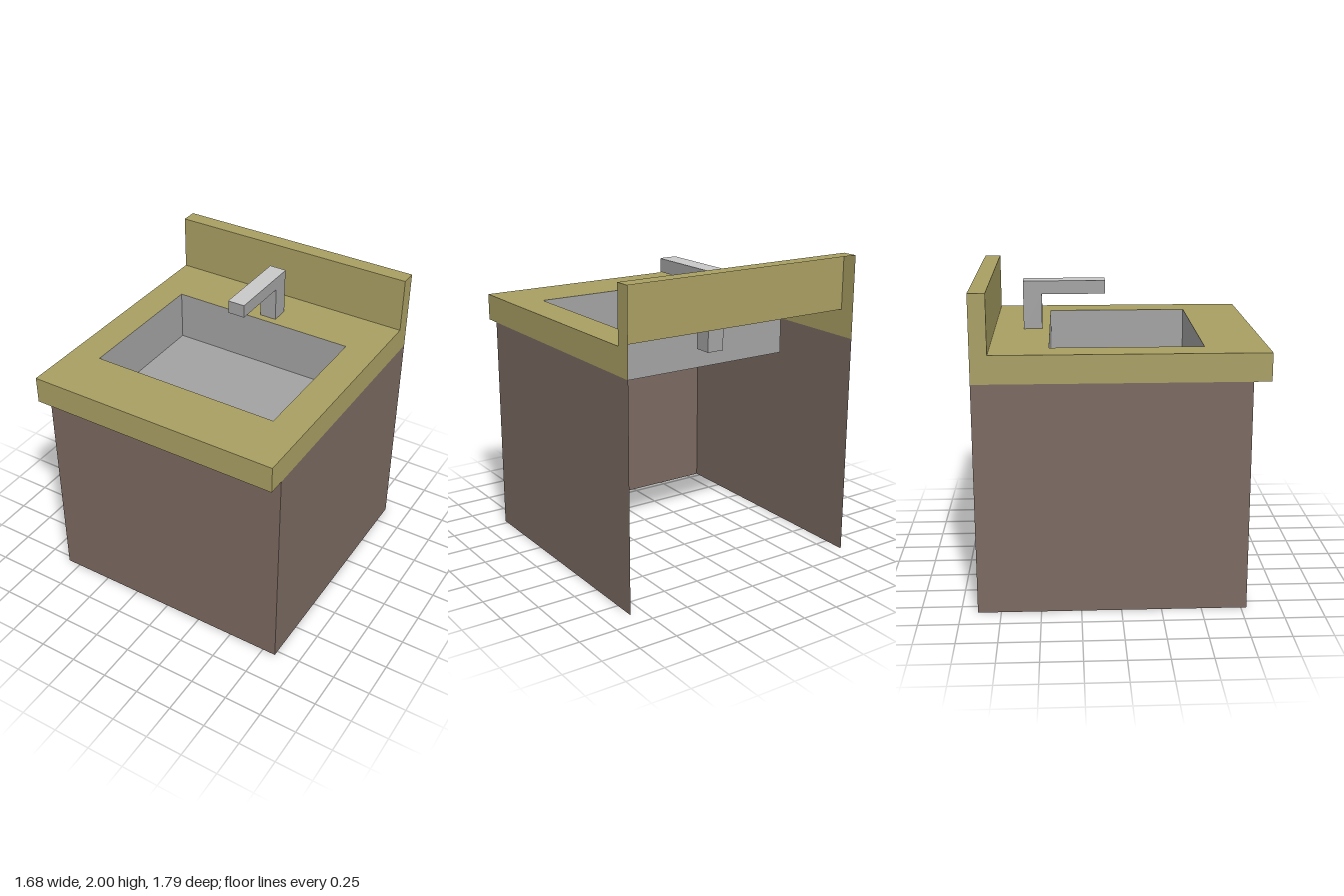
import * as THREE from 'three';

const material = (name, color) => {
  const m = new THREE.MeshStandardMaterial({ color, side: THREE.DoubleSide });
  m.name = name;
  return m;
};

// Main levels and limits
const W = 0.84, BACK = -0.895, FRONT = 0.895, PANEL = 0.785, SPLASH = -0.79;
const UNDER = 1.46, TOP = 1.635, HIGH = 2;
const SINK = { x0: -0.64, x1: 0.625, z0: -0.43, z1: 0.51, y: 1.3 };

export function createModel() {
  const olive = material('olive worktop', 0xa99f63);
  const brown = material('brown cabinet', 0x7b6a61);
  const grey = material('grey metal', 0xa3a3a3);
  const light = material('light metal', 0xc9c9c9);
  const model = new THREE.Group();
  model.name = 'sinkCabinet';

  const group = (name) => {
    const g = new THREE.Group();
    g.name = name;
    model.add(g);
    return g;
  };
  const add = (parent, name, geometry, mat) => {
    const mesh = new THREE.Mesh(geometry, mat);
    mesh.name = name;
    parent.add(mesh);
    return mesh;
  };
  // Sheets facing front (+z), up (+y) and left (+x); sign -1 faces the other way
  const wallZ = (g, name, mat, x0, x1, y0, y1, z, sign = 1) =>
    add(g, name, new THREE.PlaneGeometry(x1 - x0, y1 - y0)
      .rotateY(sign > 0 ? 0 : Math.PI)
      .translate((x0 + x1) / 2, (y0 + y1) / 2, z), mat);
  const sheetY = (g, name, mat, x0, x1, z0, z1, y, sign = 1) =>
    add(g, name, new THREE.PlaneGeometry(x1 - x0, z1 - z0)
      .rotateX(-sign * Math.PI / 2)
      .translate((x0 + x1) / 2, y, (z0 + z1) / 2), mat);
  const wallX = (g, name, mat, z0, z1, y0, y1, x, sign = 1) =>
    add(g, name, new THREE.PlaneGeometry(z1 - z0, y1 - y0)
      .rotateY(sign * Math.PI / 2)
      .translate(x, (y0 + y1) / 2, (z0 + z1) / 2), mat);
  const outline = (pts) => pts.map(([x, y]) => new THREE.Vector2(x, y));

  // Cabinet: three thin panels, open behind and below
  const cabinet = group('cabinet');
  wallZ(cabinet, 'frontPanel', brown, -W, W, 0, UNDER, PANEL);
  for (const s of [-1, 1]) {
    wallX(cabinet, s > 0 ? 'leftPanel' : 'rightPanel', brown, BACK, PANEL, 0, UNDER, s * W, s);
  }

  // Worktop shell with basin opening
  const worktop = group('worktop');
  const top = new THREE.Shape(outline([[-W, -FRONT], [W, -FRONT], [W, -SPLASH], [-W, -SPLASH]]));
  top.holes.push(new THREE.Path(outline([
    [SINK.x0, -SINK.z1], [SINK.x0, -SINK.z0], [SINK.x1, -SINK.z0], [SINK.x1, -SINK.z1]])));
  add(worktop, 'worktopSurface', new THREE.ShapeGeometry(top).rotateX(-Math.PI / 2).translate(0, TOP, 0), olive);
  wallZ(worktop, 'frontEdge', olive, -W, W, UNDER, TOP, FRONT);
  sheetY(worktop, 'overhangUnderside', olive, -W, W, PANEL, FRONT, UNDER, -1);

  // Backsplash, open at the back
  wallZ(worktop, 'backsplashFront', olive, -W, W, TOP, HIGH, SPLASH);
  sheetY(worktop, 'backsplashTop', olive, -W, W, BACK, SPLASH, HIGH);

  // L-shaped ends shared by worktop and backsplash
  const end = new THREE.Shape(outline([
    [-FRONT, UNDER], [-BACK, UNDER], [-BACK, HIGH], [-SPLASH, HIGH], [-SPLASH, TOP], [-FRONT, TOP]]));
  for (const s of [-1, 1]) {
    const geometry = new THREE.ShapeGeometry(end).rotateY(Math.PI / 2).translate(s * W, 0, 0);
    add(worktop, s > 0 ? 'leftEnd' : 'rightEnd', geometry, olive);
  }

  // Basin: four walls and a floor
  const basin = group('basin');
  const { x0, x1, z0, z1, y } = SINK;
  sheetY(basin, 'basinFloor', grey, x0, x1, z0, z1, y);
  wallZ(basin, 'basinBack', grey, x0, x1, y, TOP, z0);
  wallZ(basin, 'basinFront', grey, x0, x1, y, TOP, z1, -1);
  wallX(basin, 'basinRight', grey, z0, z1, y, TOP, x0);
  wallX(basin, 'basinLeft', grey, z0, z1, y, TOP, x1, -1);

  // Faucet: column with a level spout, lighter on top, stem below the worktop
  const faucet = group('faucet');
  const fx0 = -0.04, fx1 = 0.075;
  const profile = new THREE.Shape(outline([
    [0.6, TOP], [0.6, 1.948], [0.07, 1.948], [0.07, 1.862], [0.48, 1.862], [0.48, TOP]]));
  add(faucet, 'faucetBody', new THREE.ExtrudeGeometry(profile, { depth: fx1 - fx0, bevelEnabled: false })
    .rotateY(Math.PI / 2).translate(fx0, 0, 0), grey);
  sheetY(faucet, 'spoutTop', light, fx0, fx1, -0.6, -0.07, 1.95);
  add(faucet, 'faucetStem', new THREE.BoxGeometry(fx1 - fx0, 0.19, 0.12)
    .translate((fx0 + fx1) / 2, TOP - 0.1, -0.54), grey);

  return model;
}
